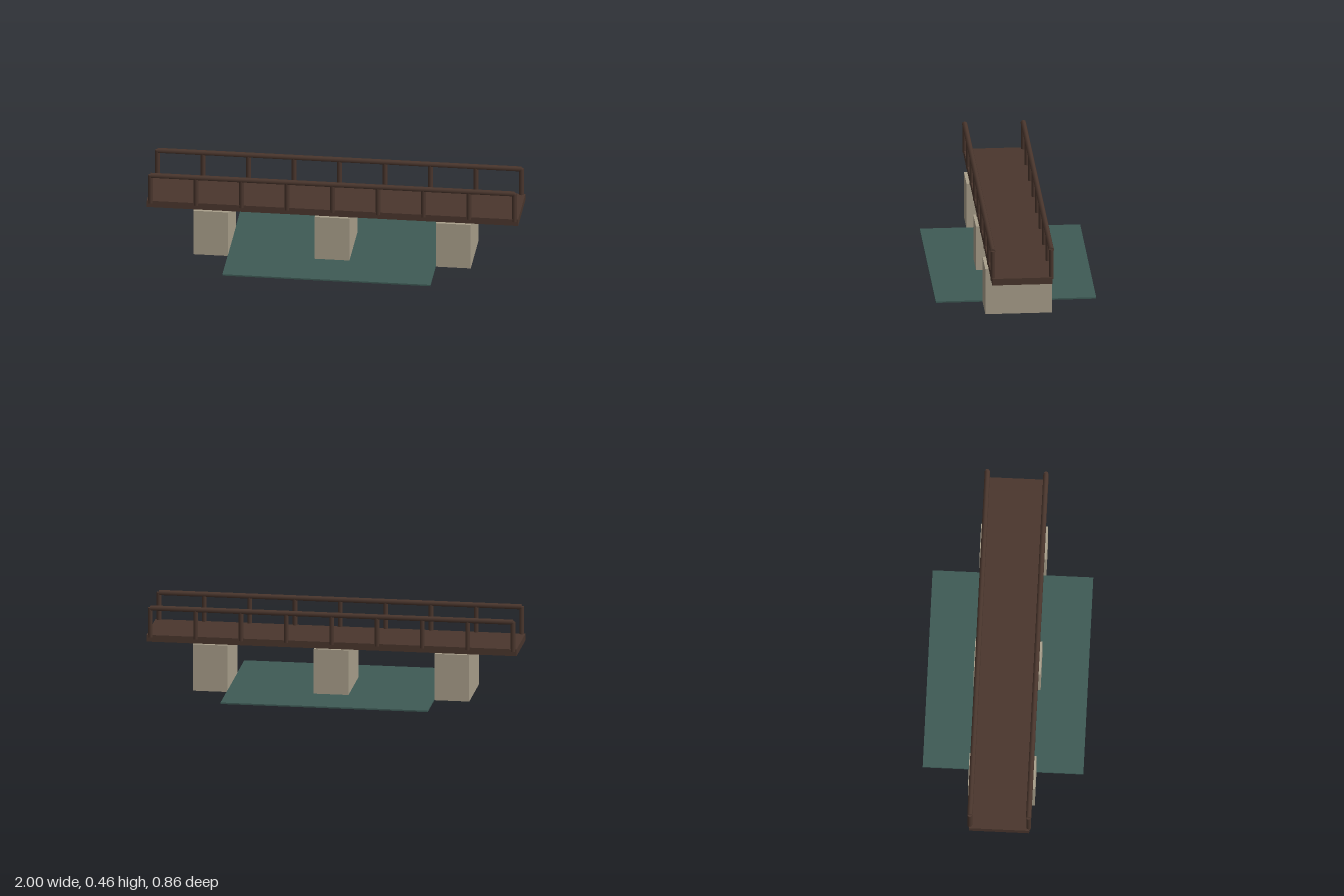
import * as THREE from 'three';

const wood = new THREE.MeshStandardMaterial({ color: 0x4a362d });
wood.name = 'dark wood';
const stone = new THREE.MeshStandardMaterial({ color: 0xa99f8b });
stone.name = 'pale stone';
const water = new THREE.MeshStandardMaterial({ color: 0x3e5a55 });
water.name = 'dark water';

export function createModel() {
  const model = new THREE.Group();
  model.name = 'footbridge';

  const add = (name, geometry, material, x, y, z) => {
    const mesh = new THREE.Mesh(geometry, material);
    mesh.name = name;
    mesh.position.set(x, y, z);
    model.add(mesh);
    return mesh;
  };

  // Water slab, walkway and three piers
  add('water', new THREE.BoxGeometry(1.12, 0.008, 0.86), water, 0, 0.006, 0);
  add('deck', new THREE.BoxGeometry(2, 0.037, 0.322), wood, 0, 0.2755, 0);
  const pierGeometry = new THREE.BoxGeometry(0.188, 0.257, 0.358);
  for (const x of [-0.653, 0, 0.653]) add('pier', pierGeometry, stone, x, 0.1285, 0);

  // Railings: nine round posts and a handrail on each side
  const postGeometry = new THREE.CylinderGeometry(0.0125, 0.0125, 0.165, 8);
  const railGeometry = new THREE.CylinderGeometry(0.0145, 0.0145, 1.96, 8).rotateZ(Math.PI / 2);
  for (const side of [-1, 1]) {
    const z = side * 0.157;
    for (let i = 0; i < 9; i++) add('railingPost', postGeometry, wood, -0.98 + i * 0.245, 0.3635, z);
    add('handrail', railGeometry, wood, 0, 0.4435, z);
  }
  return model;
}
